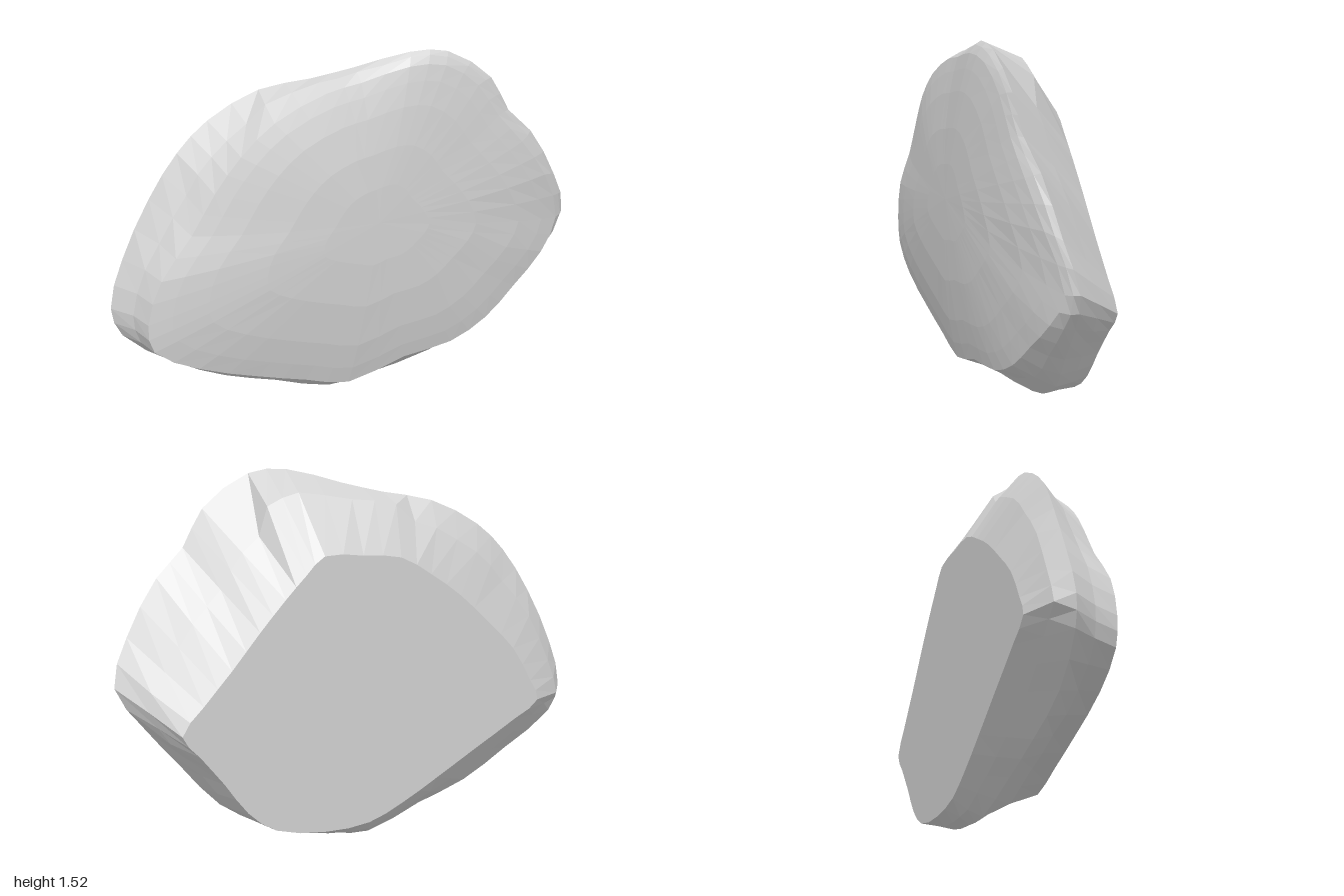
import * as THREE from 'three';

// Matching outlines, anticlockwise from the right-hand tip.
const BACK_Z = -0.21;
const back = [ // x, y of the flat back face
  .81,.55, .72,.66, .6,.79, .48,.93, .37,1.05, .28,1.14, .2,1.21, .03,1.2, -.14,1.18,
  -.28,1.1, -.42,1, -.55,.88, -.68,.75, -.77,.6, -.81,.51, -.7,.44, -.5,.33, -.32,.23,
  -.15,.14, 0,.08, .2,.07, .42,.11, .54,.2, .64,.335, .74,.46];
const girth = [ // x, y, z of the widest line round the stone
  1,.71,.03, .93,.9,.07, .79,1.12,.1, .67,1.23,.12, .58,1.38,.13, .38,1.51,.13, .22,1.52,.12,
  0,1.46,.05, -.16,1.42,0, -.36,1.38,-.06, -.57,1.27,-.08, -.7,1.15,-.08, -.82,.97,-.09,
  -.94,.73,-.09, -1,.53,-.08, -.96,.41,-.07, -.75,.26,-.05, -.53,.15,-.07, -.3,.08,-.08,
  -.05,0,-.1, .12,.02,-.1, .42,.1,-.07, .6,.2,-.05, .75,.37,-.02, .89,.54,0];
const rim = [ // x, y, z where the sides meet the domed front
  .95,.7,.07, .86,.92,.115, .73,1.09,.14, .61,1.22,.15, .51,1.36,.155, .36,1.46,.16,
  .2,1.47,.16, 0,1.42,.14, -.14,1.39,.13, -.36,1.29,.125, -.5,1.17,.125, -.61,1.03,.12,
  -.71,.87,.12, -.84,.7,.125, -.9,.52,.12, -.88,.4,.12, -.7,.3,.13, -.45,.22,.13, -.24,.165,.13,
  -.05,.12,.13, .2,.2,.145, .42,.23,.14, .59,.31,.13, .73,.43,.115, .87,.56,.095];
const COLS = 50;

function outline(data, size) {
  const pts = [];
  for (let i = 0; i < data.length; i += size) {
    pts.push(new THREE.Vector3(data[i], data[i + 1], size === 3 ? data[i + 2] : BACK_Z));
  }
  const curve = new THREE.CatmullRomCurve3(pts, true);
  return Array.from({ length: COLS }, (_, j) => curve.getPoint(j / COLS));
}

export function createModel() {
  let seed = 7;
  const rand = () => (seed = (seed * 16807) % 2147483647) / 2147483647 - 0.5;

  const B = outline(back, 2), W = outline(girth, 3), F = outline(rim, 3);
  const centre = new THREE.Vector3(0.05, 0.85, 0.213);

  // Ring between two others, pushed outwards and slightly roughened
  const between = (a, b, t, bulge) => a.map((p, j) => {
    const q = p.clone().lerp(b[j], t);
    const out = new THREE.Vector3(q.x, q.y - 0.75, 0).normalize();
    return q.addScaledVector(out, bulge(j) + rand() * 0.012);
  });
  // Domed front ring, s = 1 at the rim and 0 at the centre
  const dome = s => F.map(p => new THREE.Vector3(
    centre.x + (p.x - centre.x) * s,
    centre.y + (p.y - centre.y) * s,
    p.z + (centre.z - p.z) * (1 - s ** 2.6)));

  // Upper right is a flat cut, the crest is full, the underside is straight
  const backBulge = j => {
    if (j < 10 || j >= 38) return 0.003;
    if (j < 17) return 0.08;
    return j < 29 ? 0.04 : 0.005;
  };
  // The lower left flank is slightly hollow towards the front
  const frontBulge = j => (j > 18 && j < 44 ? -0.015 : 0.008);

  const rings = [
    B.map(() => new THREE.Vector3(0, 0.7, BACK_Z)), B,
    between(B, W, 0.5, backBulge), W,
    between(W, F, 0.5, frontBulge), F,
    dome(0.9), dome(0.75), dome(0.5), dome(0.25), dome(0)];

  // Skin the rings
  const pos = [];
  const tri = (...v) => v.forEach(p => pos.push(p.x, p.y, p.z));
  for (let r = 0; r < rings.length - 1; r++) {
    for (let j = 0; j < COLS; j++) {
      const k = (j + 1) % COLS;
      const a = rings[r][j], b = rings[r][k], c = rings[r + 1][k], d = rings[r + 1][j];
      if (r > 0) tri(a, b, c);
      if (r < rings.length - 2) tri(a, c, d);
    }
  }
  const geo = new THREE.BufferGeometry();
  geo.setAttribute('position', new THREE.Float32BufferAttribute(pos, 3));
  geo.computeVertexNormals();

  const stone = new THREE.MeshStandardMaterial({ color: 0xd3d3d3, flatShading: true });
  stone.name = 'pale grey stone';
  const rock = new THREE.Mesh(geo, stone);
  rock.name = 'rock';

  const group = new THREE.Group();
  group.name = 'flatRock';
  group.add(rock);
  return group;
}
